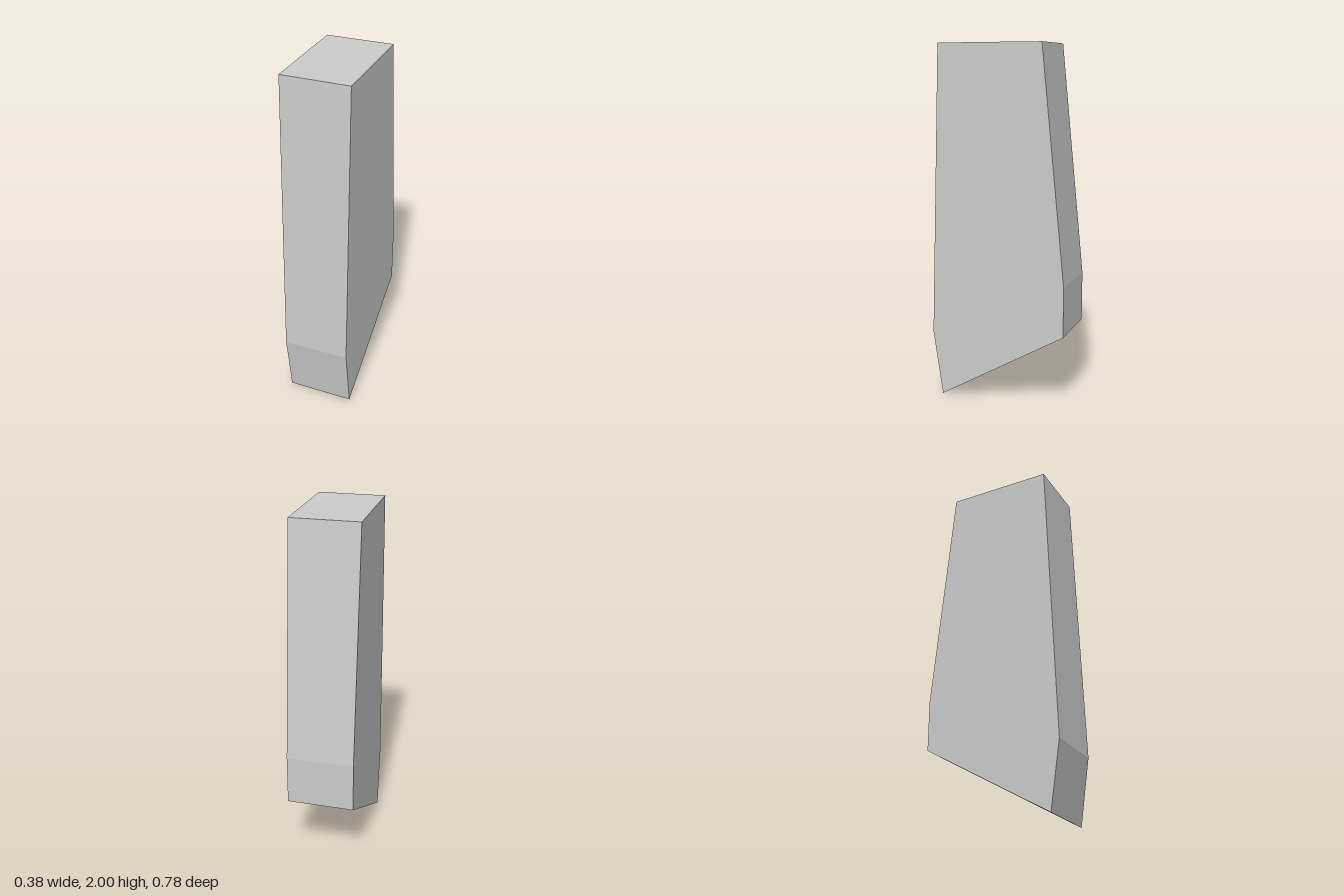
import * as THREE from 'three';

export function createModel() {
  const group = new THREE.Group();
  const width = 0.375;

  // Side profile as (z, y): slanted underside, tapering front and back
  const profile = new THREE.Shape([
    [0.335, 0], [0.39, 0.37], [0.337, 2],
    [-0.257, 2], [-0.39, 0.7], [-0.39, 0.42],
  ].map(([z, y]) => new THREE.Vector2(z, y)));

  // Extrude across the width, then turn the profile to face sideways
  const geometry = new THREE.ExtrudeGeometry(profile, { depth: width, bevelEnabled: false });
  geometry.translate(0, 0, -width / 2);
  geometry.rotateY(-Math.PI / 2);

  const material = new THREE.MeshStandardMaterial({ color: 0xcccccc, flatShading: true });
  const block = new THREE.Mesh(geometry, material);
  block.name = 'taperedBlock';
  group.add(block);
  return group;
}
